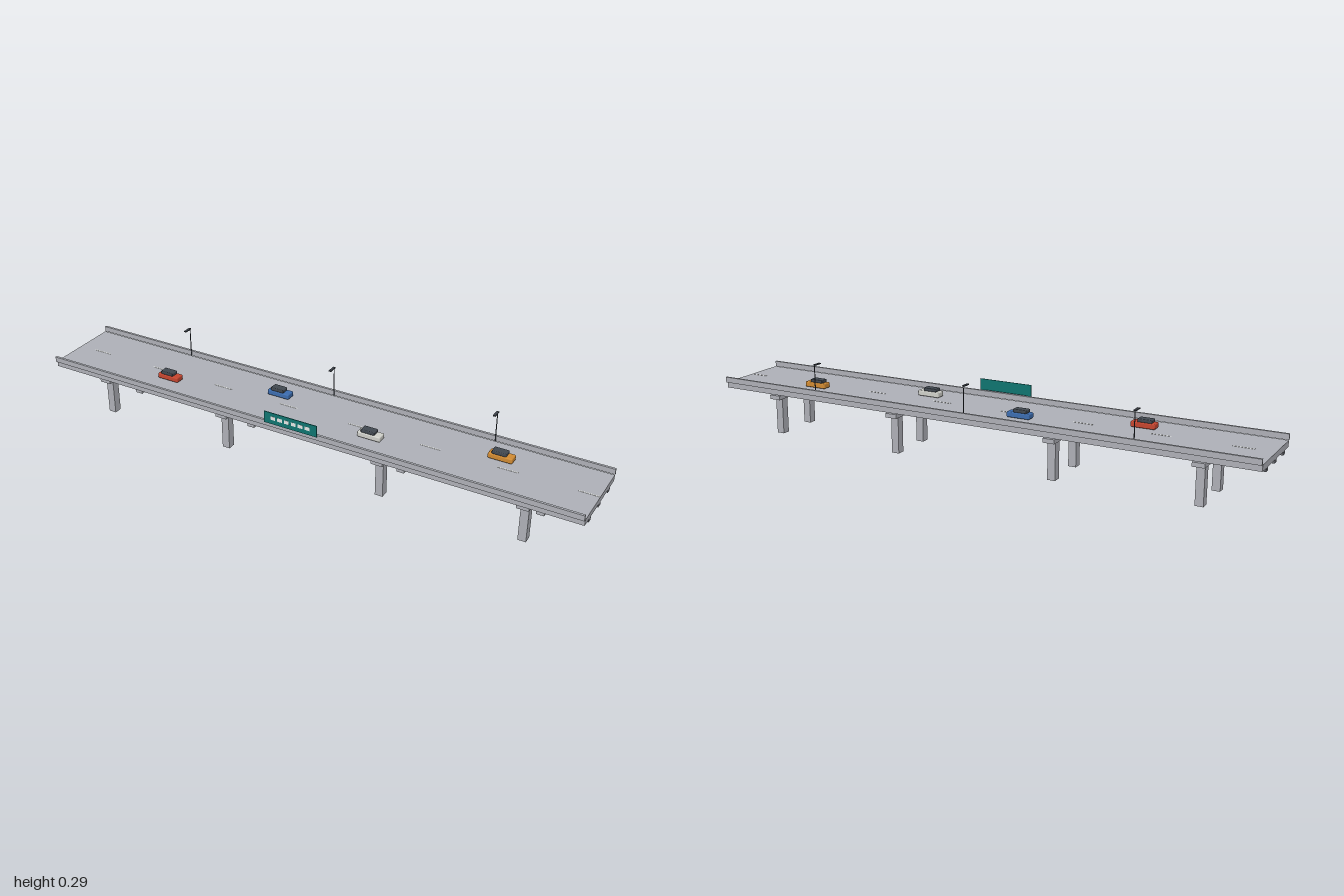
import * as THREE from 'three';
import { RoundedBoxGeometry } from 'three/addons/geometries/RoundedBoxGeometry.js';

const paint = (name, color) => {
  const m = new THREE.MeshStandardMaterial({ color });
  m.name = name;
  return m;
};

export function createModel() {
  const model = new THREE.Group();
  model.name = 'roadBridge';
  const concrete = paint('concrete', 0xaeb0b7);
  const steel = paint('girderGrey', 0x6c6e74);
  const dark = paint('darkMetal', 0x3a4048);
  const white = paint('markingWhite', 0xe6e8e6);
  const teal = paint('signTeal', 0x0f7570);
  const glass = paint('cabinDark', 0x414850);

  // Box given by its lower and upper limits on each axis
  const box = (name, mat, x0, x1, y0, y1, z0, z1, parent = model) => {
    const mesh = new THREE.Mesh(new THREE.BoxGeometry(x1 - x0, y1 - y0, z1 - z0), mat);
    mesh.position.set((x0 + x1) / 2, (y0 + y1) / 2, (z0 + z1) / 2);
    mesh.name = name;
    parent.add(mesh);
    return mesh;
  };

  // Deck and the girders beneath it
  box('deck', concrete, -1, 1, 0.157, 0.178, -0.142, 0.136);
  for (const z of [0.087, -0.003, -0.093]) {
    box('girder', steel, -1, 1, 0.145, 0.157, z - 0.0095, z + 0.0095);
  }

  // Edge barriers: thin wall under a wider rail
  for (const z of [0.141, -0.147]) {
    box('barrierWall', concrete, -1, 1, 0.178, 0.194, z - 0.003, z + 0.003);
    box('barrierRail', concrete, -1, 1, 0.194, 0.198, z - 0.0042, z + 0.0042);
  }

  // Piers: two columns and a cross beam each
  for (const x of [-0.8, -0.3, 0.3, 0.8]) {
    const pier = new THREE.Group();
    pier.name = 'pier';
    model.add(pier);
    box('crossBeam', concrete, x - 0.021, x + 0.021, 0.132, 0.147, -0.122, 0.116, pier);
    for (const z of [0.077, -0.083]) {
      box('column', concrete, x - 0.014, x + 0.014, 0, 0.132, z - 0.0145, z + 0.0145, pier);
    }
  }

  // Dashed centre line
  for (let i = 0; i < 8; i++) {
    const x = -0.9 + i * 0.2667;
    box('laneDash', white, x - 0.035, Math.min(x + 0.035, 0.998), 0.178, 0.1788, -0.005, -0.001);
  }

  // Street lamps on the back edge
  for (const x of [-0.6, 0, 0.6]) {
    const lamp = new THREE.Group();
    lamp.name = 'streetLamp';
    model.add(lamp);
    const pole = new THREE.Mesh(new THREE.CylinderGeometry(0.0015, 0.002, 0.112, 8), dark);
    pole.name = 'lampPole';
    pole.position.set(x, 0.234, -0.143);
    lamp.add(pole);
    box('lampArm', dark, x - 0.0045, x + 0.0045, 0.2865, 0.29, -0.144, -0.112, lamp);
  }

  // Sign panel outside the front barrier, with plain marks
  box('signPanel', teal, -0.1, 0.1, 0.195, 0.237, 0.1495, 0.1525);
  for (let i = 0; i < 6; i++) {
    const x = -0.066 + i * 0.026;
    box('signMark', white, x - 0.009, x + 0.009, 0.211, 0.224, 0.1525, 0.153);
  }
  box('signBracket', dark, -0.08, 0.08, 0.195, 0.198, 0.144, 0.15);

  // Cars; the heading is +x
  const cars = [
    ['red', 0xc4452f, -0.56, 0.043], ['blue', 0x3c6cae, -0.16, -0.049],
    ['silver', 0xcfd0ca, 0.24, 0.043], ['orange', 0xd08a32, 0.66, -0.049],
  ];
  for (const [tint, hex, x, z] of cars) {
    const car = new THREE.Group();
    car.name = tint + 'Car';
    car.position.set(x, 0, z);
    const body = new THREE.Mesh(new RoundedBoxGeometry(0.084, 0.019, 0.035, 2, 0.004), paint(tint + 'Paint', hex));
    body.name = 'carBody';
    body.position.y = 0.1905;
    const cabin = new THREE.Mesh(new RoundedBoxGeometry(0.05, 0.012, 0.03, 2, 0.003), glass);
    cabin.name = 'carCabin';
    cabin.position.set(-0.005, 0.205, 0);
    car.add(body, cabin);
    model.add(car);
  }
  return model;
}
